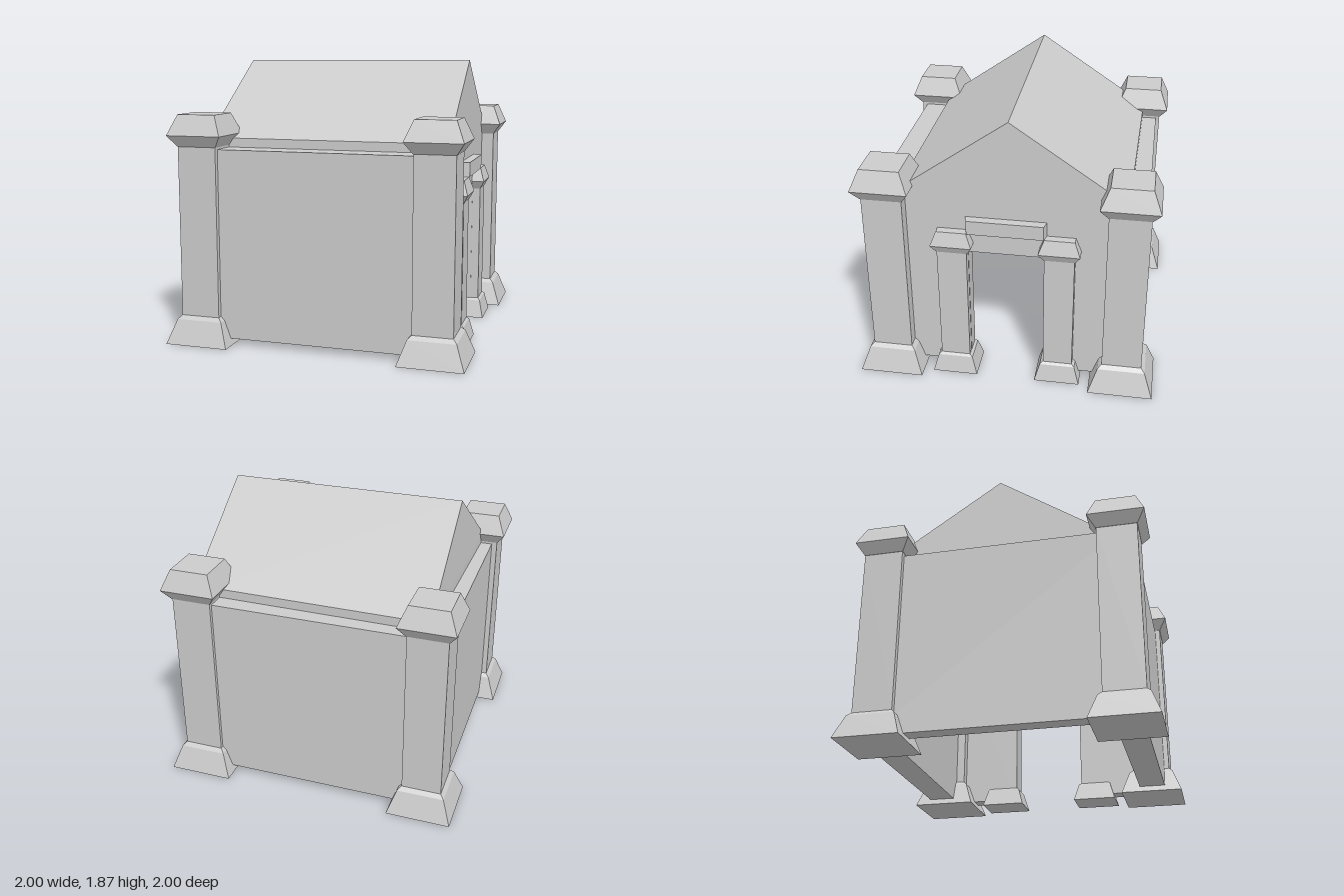
import * as THREE from 'three';

const material = new THREE.MeshStandardMaterial({ color: 0xcccccc, flatShading: true });

function addMesh(parent, name, geometry) {
  const flat = geometry.index ? geometry.toNonIndexed() : geometry;
  flat.computeVertexNormals();
  const mesh = new THREE.Mesh(flat, material);
  mesh.name = name;
  parent.add(mesh);
  return mesh;
}

// Box given by its limits on each axis
function boxBetween(x0, x1, y0, y1, z0, z1) {
  return new THREE.BoxGeometry(x1 - x0, y1 - y0, z1 - z0)
    .translate((x0 + x1) / 2, (y0 + y1) / 2, (z0 + z1) / 2);
}

// Square turned part from [half width, height] pairs, closed at both ends
function squareTurned(profile) {
  const points = profile.map(([h, y]) => new THREE.Vector2(h * Math.SQRT2, y));
  points.unshift(new THREE.Vector2(0, profile[0][1]));
  points.push(new THREE.Vector2(0, profile[profile.length - 1][1]));
  return new THREE.LatheGeometry(points, 4, Math.PI / 4);
}

// Extrude a [z, y] outline along x from x0 to x1
function extrudeAlongX(outline, x0, x1) {
  const shape = new THREE.Shape(outline.map(([z, y]) => new THREE.Vector2(-z, y)));
  return new THREE.ExtrudeGeometry(shape, { depth: x1 - x0, bevelEnabled: false })
    .rotateY(Math.PI / 2).translate(x0, 0, 0);
}

function pillar(name, x, z, base, shaft, cap) {
  const group = new THREE.Group();
  group.name = name;
  group.position.set(x, 0, z);
  addMesh(group, 'pillarBase', squareTurned(base));
  addMesh(group, 'pillarShaft', squareTurned(shaft));
  addMesh(group, 'pillarCap', squareTurned(cap));
  return group;
}

export function createModel() {
  const model = new THREE.Group();
  model.name = 'gatehouse';

  // Three plain walls with a ledge on top
  addMesh(model, 'frontWall', boxBetween(-0.8, 0.8, 0.04, 1.3, 0.7, 0.88));
  addMesh(model, 'backWall', boxBetween(-0.8, 0.8, 0.04, 1.3, -0.89, -0.71));
  addMesh(model, 'rightWall', boxBetween(-0.88, -0.77, 0.04, 1.3, -0.8, 0.8));

  // Gabled wall with the doorway cut up from the bottom
  const gable = [[0.7, 1.36], [-0.02, 1.87], [-0.77, 1.36]];
  addMesh(model, 'doorWall', extrudeAlongX([
    [-0.77, 0.04], [-0.25, 0.04], [-0.25, 0.935], [0.25, 0.935], [0.25, 0.04], [0.7, 0.04], ...gable,
  ], 0.72, 0.83));

  // Pitched roof, its plain end slightly skewed
  const roof = extrudeAlongX([[-0.77, 1.29], [0.7, 1.29], ...gable], -0.77, 0.72);
  const p = roof.attributes.position;
  for (let i = 0; i < p.count; i++) {
    if (p.getX(i) < 0 && p.getZ(i) > 0.5) p.setX(i, -0.8);
    if (p.getX(i) < 0 && p.getZ(i) < -0.5) p.setZ(i, -0.79);
  }
  addMesh(model, 'roof', roof);

  // Corner pillars
  for (const [x, side] of [[0.785, 'left'], [-0.785, 'right']]) {
    for (const [z, end] of [[0.783, 'Front'], [-0.783, 'Back']]) {
      model.add(pillar(`${side}${end}Pillar`, x, z,
        [[0.215, 0], [0.157, 0.16], [0.132, 0.185]],
        [[0.132, 0.18], [0.132, 1.32]],
        [[0.134, 1.315], [0.186, 1.39], [0.13, 1.525]]));
    }
  }

  // Smaller pillars beside the doorway
  for (const [z, name] of [[0.35, 'doorFrontPillar'], [-0.35, 'doorBackPillar']]) {
    const post = pillar(name, 0.805, z,
      [[0.152, 0], [0.117, 0.12], [0.098, 0.135]],
      [[0.098, 0.13], [0.098, 0.955]],
      [[0.1, 0.95], [0.135, 1.005], [0.098, 1.1]]);
    post.scale.x = 0.82;
    model.add(post);
  }

  // Lintel, narrowing toward its outer face
  const lintel = boxBetween(0.8, 0.89, 1.1, 1.197, -0.27, 0.27);
  const q = lintel.attributes.position;
  for (let i = 0; i < q.count; i++) {
    if (q.getX(i) > 0.85) q.setZ(i, q.getZ(i) * 0.92);
  }
  addMesh(model, 'lintel', lintel);

  return model;
}
